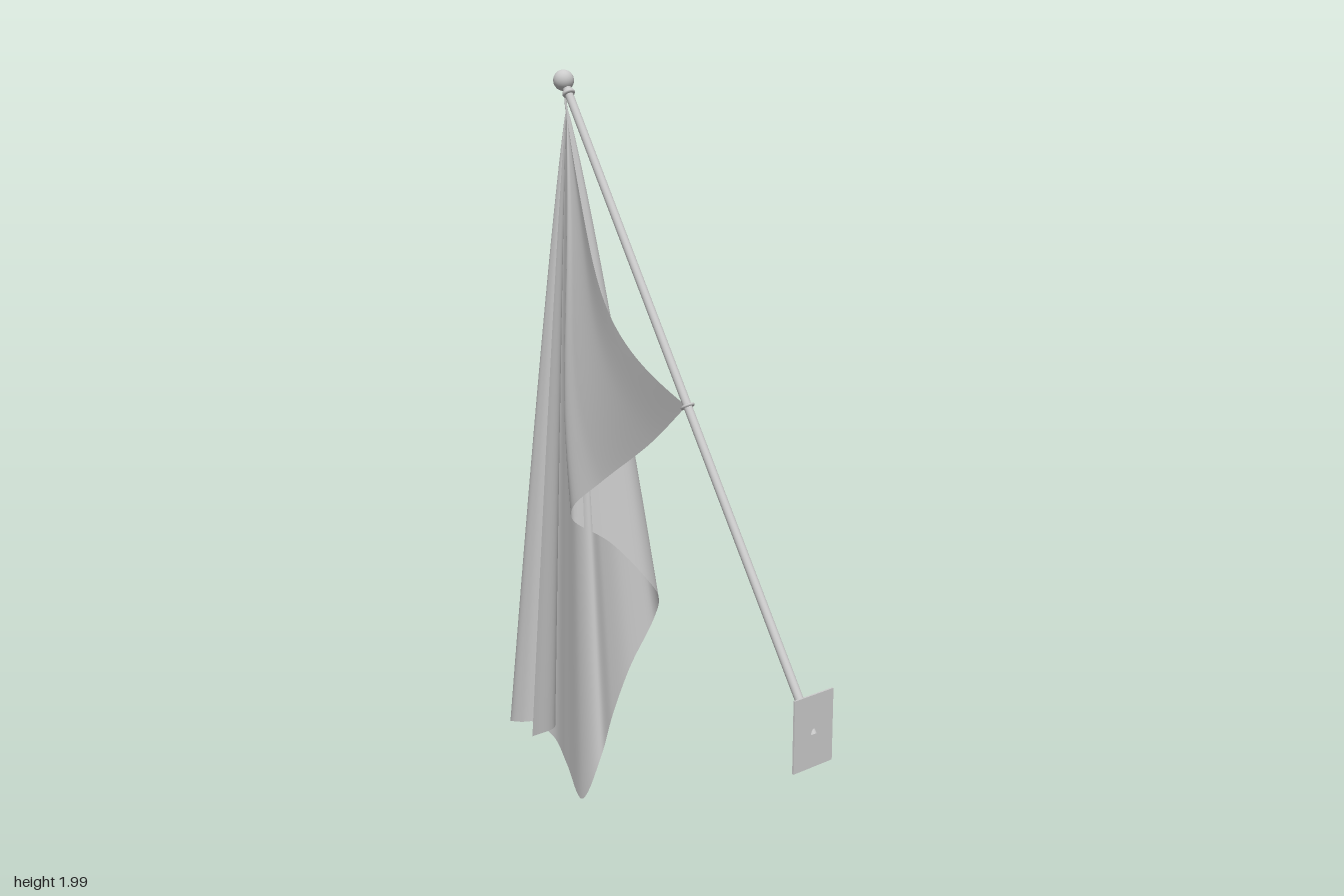
import * as THREE from 'three';

const mat = new THREE.MeshStandardMaterial({ color: 0xcccccc });
const clothMat = new THREE.MeshStandardMaterial({ color: 0xcccccc, side: THREE.DoubleSide });
const V = (x, y, z) => new THREE.Vector3(x, y, z);

const foot = V(0, 0.45, 0.557);
const tip = V(0, 1.955, -0.325);
const apex = V(0, 1.91, -0.325);
const axis = tip.clone().sub(foot).normalize();

function add(group, name, geometry, position, direction) {
  const mesh = new THREE.Mesh(geometry, mat);
  mesh.name = name;
  mesh.position.copy(position);
  if (direction) mesh.quaternion.setFromUnitVectors(V(0, 1, 0), direction);
  group.add(mesh);
  return mesh;
}

// Hanging cloth: a fan of threads from the top knot to a folded lower hem
function clothGeometry(across = 160, down = 50) {
  const hem = new THREE.CatmullRomCurve3([
    V(0, 1.18, 0.125), V(-0.005, 1.07, 0), V(-0.03, 0.95, -0.16), V(-0.055, 0.87, -0.25),
    V(-0.025, 0.82, -0.285), V(0.05, 0.76, -0.225), V(0.14, 0.65, -0.175), V(0.2, 0.58, -0.19),
    V(0.22, 0.5, -0.235), V(0.16, 0.37, -0.265), V(0.08, 0.25, -0.25), V(0.015, 0.16, -0.222),
    V(-0.002, 0.01, -0.29), // lower free corner
    V(0.035, 0.07, -0.4), V(0.06, 0.12, -0.49), V(0.035, 0.155, -0.55), V(-0.02, 0.17, -0.56),
    V(-0.08, 0.2, -0.51), V(-0.083, 0.215, -0.45), V(-0.058, 0.24, -0.36), V(-0.11, 0.255, -0.275),
    V(-0.215, 0.27, -0.237), // upper free corner
  ]);
  const pos = [], index = [];
  for (let i = 0; i <= across; i++) {
    const s = i / across;
    const end = hem.getPoint(s);
    const hoist = Math.max(0, 1 - s / 0.2); // 1 on the edge nearest the pole
    const spread = THREE.MathUtils.lerp(0.87, 1.55, hoist);
    for (let j = 0; j <= down; j++) {
      const t = j / down;
      const k = Math.pow(t, spread);
      const bow = -0.085 * hoist * Math.sin(Math.PI * Math.pow(t, 2.2));
      pos.push(
        apex.x + (end.x - apex.x) * k + bow,
        apex.y + (end.y - apex.y) * t,
        apex.z + (end.z - apex.z) * k
      );
      if (i < across && j < down) {
        const a = i * (down + 1) + j, b = a + down + 1;
        index.push(a, a + 1, b, b, a + 1, b + 1);
      }
    }
  }
  const g = new THREE.BufferGeometry();
  g.setAttribute('position', new THREE.Float32BufferAttribute(pos, 3));
  g.setIndex(index);
  g.computeVertexNormals();
  return g;
}

export function createModel() {
  const model = new THREE.Group();
  model.name = 'wallFlag';

  // Wall plate with four bolts on its rear face
  add(model, 'wallPlate', new THREE.BoxGeometry(0.135, 0.18, 0.005), V(0, 0.46, 0.558));
  for (const x of [-0.05, 0.05]) {
    for (const y of [0.39, 0.53]) {
      add(model, 'bolt', new THREE.CylinderGeometry(0.009, 0.009, 0.006, 12), V(x, y, 0.553), V(0, 0, -1));
    }
  }

  // Slanted pole
  add(model, 'pole', new THREE.CylinderGeometry(0.011, 0.011, foot.distanceTo(tip), 20),
    foot.clone().lerp(tip, 0.5), axis);

  // Collar and ball at the tip
  const collar = [[0, -0.022], [0.015, -0.022], [0.017, -0.017], [0.015, -0.011], [0.011, -0.008], [0.012, 0.004], [0.018, 0.008]]
    .map(([r, y]) => new THREE.Vector2(r, y));
  add(model, 'finialCollar', new THREE.LatheGeometry(collar, 24), tip, axis);
  add(model, 'finialBall', new THREE.SphereGeometry(0.027, 24, 16), V(0, 1.973, -0.336), axis);

  // Ring holding the lower corner of the cloth
  const ring = add(model, 'ring', new THREE.TorusGeometry(0.0145, 0.004, 8, 24).rotateX(Math.PI / 2),
    V(0, 1.18, 0.13), axis);
  ring.position.copy(foot).addScaledVector(axis, (1.18 - foot.y) / axis.y);

  // Short tie from the pole to the top of the cloth
  const tie = new THREE.CatmullRomCurve3([V(0, 1.94, -0.316), V(0, 1.93, -0.328), V(0, 1.9, -0.326)]);
  add(model, 'topTie', new THREE.TubeGeometry(tie, 10, 0.003, 8), V(0, 0, 0));

  const cloth = new THREE.Mesh(clothGeometry(), clothMat);
  cloth.name = 'cloth';
  model.add(cloth);
  return model;
}
